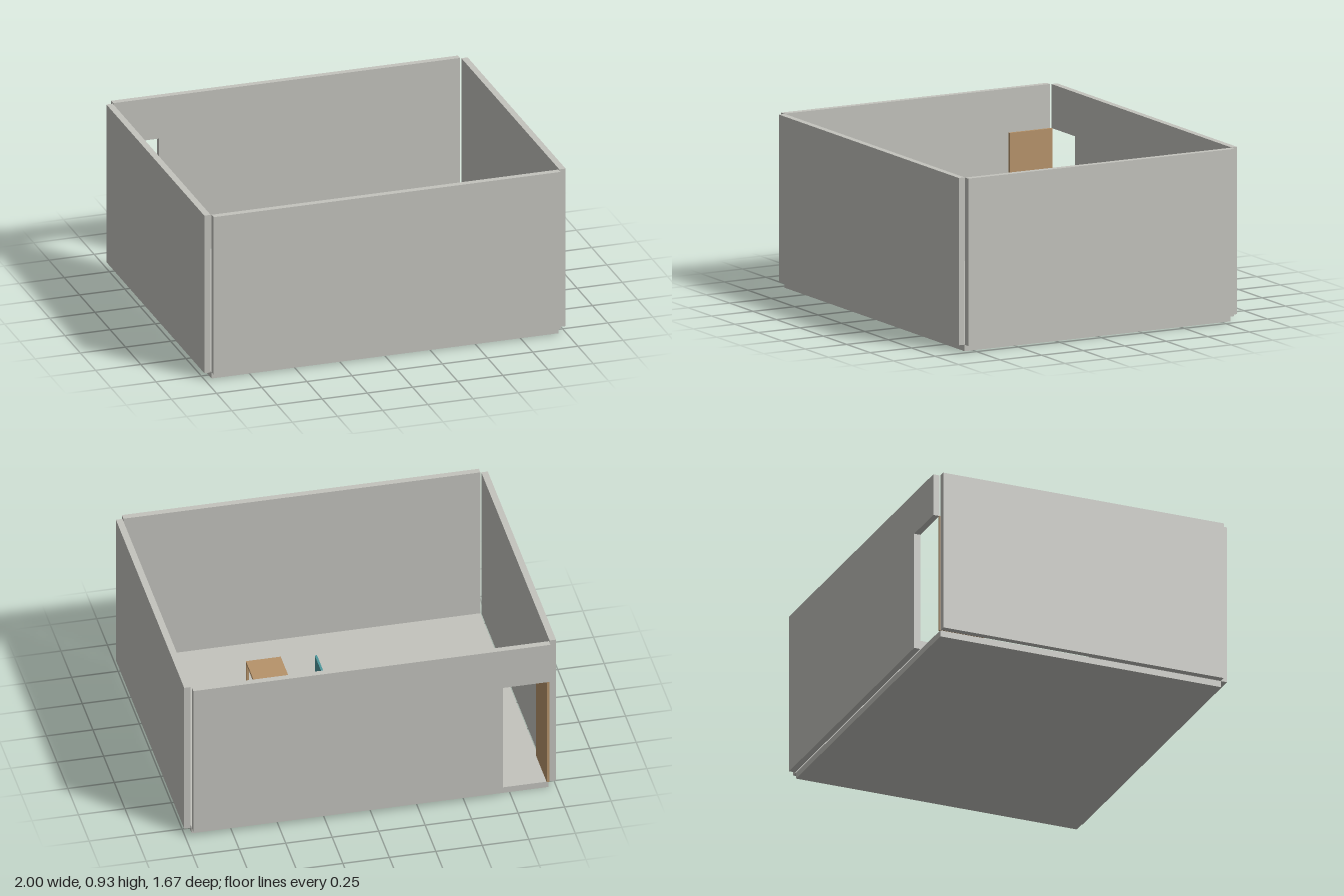
import * as THREE from 'three';

const plaster = new THREE.MeshStandardMaterial({ color: 0xc3c3bd });
plaster.name = 'plasterGrey';
const wood = new THREE.MeshStandardMaterial({ color: 0xb6936a });
wood.name = 'warmWood';
const teal = new THREE.MeshStandardMaterial({ color: 0x4e979c });
teal.name = 'tealPaint';

// Box given by its minimum and maximum corners
function block(parent, name, material, [x0, y0, z0], [x1, y1, z1]) {
  const mesh = new THREE.Mesh(new THREE.BoxGeometry(x1 - x0, y1 - y0, z1 - z0), material);
  mesh.position.set((x0 + x1) / 2, (y0 + y1) / 2, (z0 + z1) / 2);
  mesh.name = name;
  parent.add(mesh);
  return mesh;
}

// Four square legs inside a rectangle
function legs(parent, name, material, [x0, x1], [z0, z1], y0, y1, t) {
  for (const x of [x0, x1 - t])
    for (const z of [z0, z1 - t])
      block(parent, name, material, [x, y0, z], [x + t, y1, z + t]);
}

export function createModel() {
  const room = new THREE.Group();
  room.name = 'room';
  const floorTop = 0.035, wallTop = 0.93;

  // Floor slab
  block(room, 'floor', plaster, [-0.96, 0, -0.8], [0.96, floorTop, 0.8]);

  // Side walls and front wall stand just outside the slab
  for (const [name, s] of [['leftWall', 1], ['rightWall', -1]]) {
    const xs = [0.965 * s, s].sort((a, b) => a - b);
    block(room, name, plaster, [xs[0], floorTop, -0.8], [xs[1], wallTop, 0.8]);
  }
  block(room, 'frontWall', plaster, [-0.96, floorTop, 0.8], [0.96, wallTop, 0.835]);

  // Back wall outline with the doorway notched out of its corner
  const doorTop = 0.695, jamb = -0.706;
  const outline = new THREE.Shape([
    [jamb, floorTop], [0.96, floorTop], [0.96, wallTop],
    [-0.96, wallTop], [-0.96, doorTop], [jamb, doorTop],
  ].map(([x, y]) => new THREE.Vector2(x, y)));
  const backWall = new THREE.Mesh(
    new THREE.ExtrudeGeometry(outline, { depth: 0.035, bevelEnabled: false }), plaster);
  backWall.position.z = -0.84;
  backWall.name = 'backWall';
  room.add(backWall);

  // Door swung open against the side wall
  block(room, 'door', wood, [-0.964, floorTop, -0.805], [-0.949, doorTop, -0.55]);

  // Table
  const table = new THREE.Group();
  table.name = 'table';
  block(table, 'tableTop', wood, [0.225, 0.25, 0], [0.412, 0.265, 0.315]);
  legs(table, 'tableLeg', wood, [0.225, 0.412], [0, 0.315], floorTop, 0.25, 0.014);
  room.add(table);

  // Chair facing the table
  const chair = new THREE.Group();
  chair.name = 'chair';
  block(chair, 'chairSeat', teal, [0.048, 0.16, 0.078], [0.205, 0.175, 0.236]);
  block(chair, 'chairBack', teal, [0.048, 0.175, 0.078], [0.06, 0.3, 0.236]);
  legs(chair, 'chairLeg', teal, [0.048, 0.205], [0.078, 0.236], floorTop, 0.16, 0.012);
  room.add(chair);

  return room;
}
